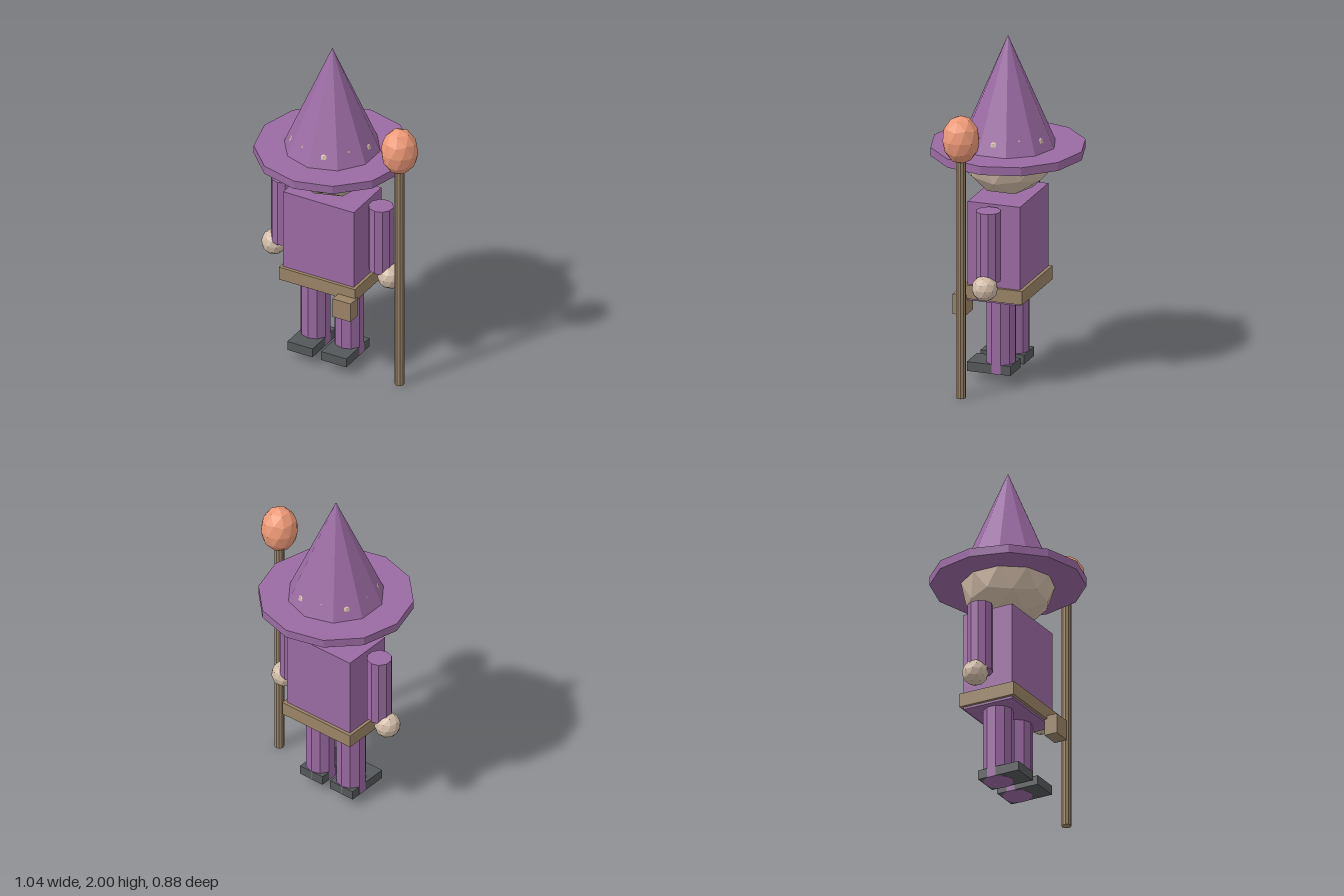
import * as THREE from 'three';

const mat = (color) => new THREE.MeshStandardMaterial({ color, flatShading: true });

export function createModel() {
  const model = new THREE.Group();
  const robe = mat(0x9b6ba3), leather = mat(0x9b8467), skin = mat(0xd2bca8);
  const dark = mat(0x55585a), glow = mat(0xee9a78);

  const add = (name, geometry, material, x, y, z) => {
    const mesh = new THREE.Mesh(geometry, material);
    mesh.name = name;
    mesh.position.set(x, y, z);
    model.add(mesh);
    return mesh;
  };
  const box = (w, h, d) => new THREE.BoxGeometry(w, h, d);
  const prism = (r, h, sides = 10) => new THREE.CylinderGeometry(r, r, h, sides);

  // Icosphere turned so that a corner points straight up
  const ball = (r, ry = r) => new THREE.IcosahedronGeometry(1, 1)
    .rotateZ(-Math.atan(2 / (1 + Math.sqrt(5))))
    .scale(r, ry, r);

  const cx = -0.074; // body axis; the staff stands off to its left

  // Hat and head: the head just pokes through the cone as small studs
  add('hatCone', new THREE.ConeGeometry(0.275, 0.64, 10), robe, cx, 1.68, 0);
  add('hatBrim', prism(0.44, 0.05, 12), robe, cx, 1.335, 0);
  add('head', ball(0.267, 0.25), skin, cx, 1.317, 0);

  // Body
  add('torso', box(0.455, 0.583, 0.312), robe, cx, 0.779, 0);
  add('belt', box(0.49, 0.08, 0.35), leather, cx, 0.541, 0);
  add('pouch', box(0.117, 0.118, 0.08), leather, 0.121, 0.463, 0.197);

  // Limbs, mirrored about the body axis
  for (const [side, s] of [['left', 1], ['right', -1]]) {
    add(side + 'Arm', prism(0.0715, 0.41), robe, cx + s * 0.314, 0.855, 0);
    add(side + 'Hand', ball(0.075), skin, cx + s * 0.373, 0.62, 0);
    add(side + 'Leg', prism(0.0855, 0.446), robe, cx + s * 0.109, 0.277, 0);
    add(side + 'Foot', box(0.162, 0.055, 0.26), dark, cx + s * 0.109, 0.0825, 0.045);
  }

  // Staff with its orb
  add('staff', prism(0.028, 1.42), leather, 0.416, 0.71, 0.099);
  add('staffOrb', ball(0.107, 0.141), glow, 0.416, 1.524, 0.099);

  return model;
}
